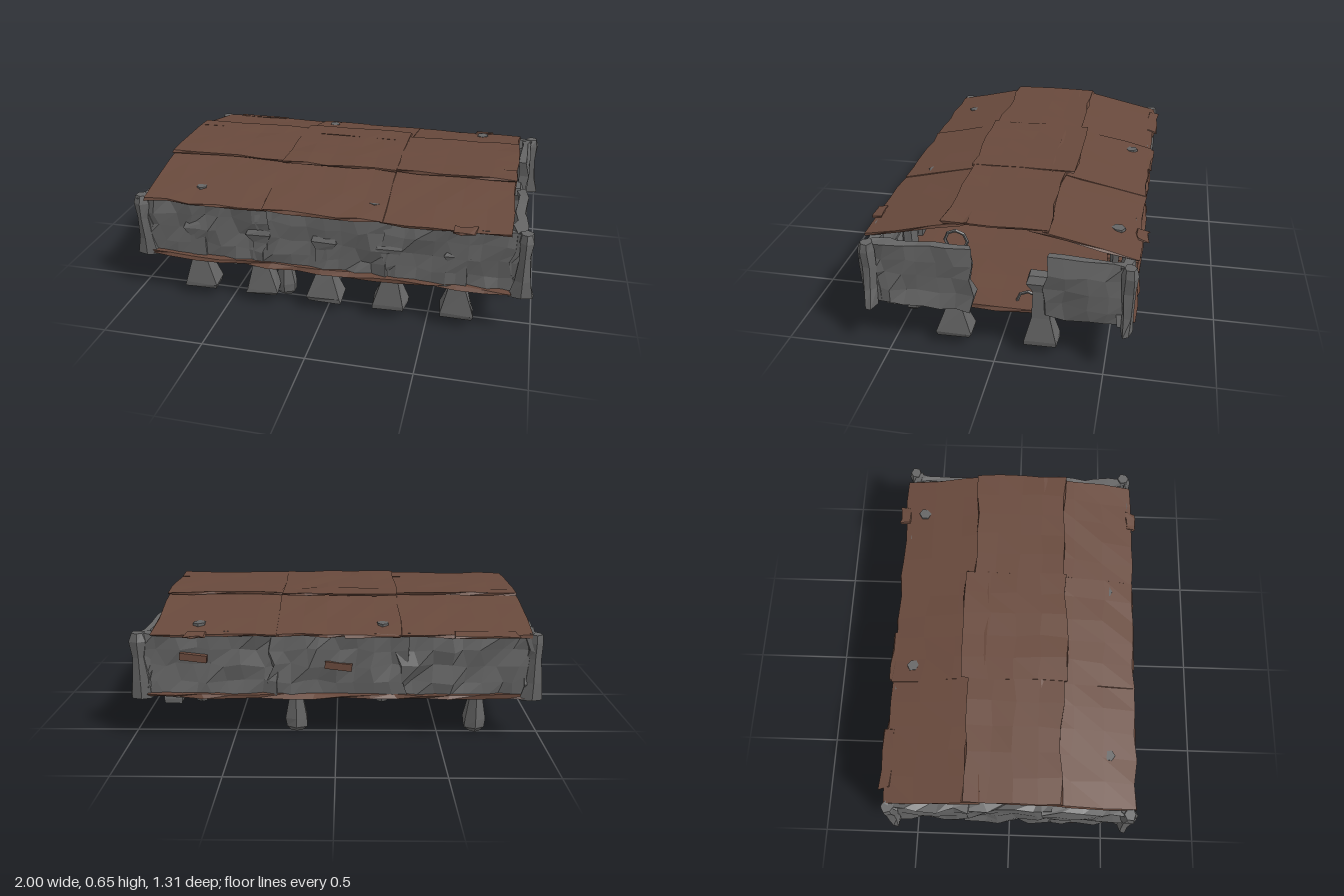
import * as THREE from 'three';

const stone = new THREE.MeshStandardMaterial({ color: 0x656565, flatShading: true });
stone.name = 'grey rock';
const wood = new THREE.MeshStandardMaterial({ color: 0x68493c, flatShading: true });
wood.name = 'brown board';

// Repeatable value from -1 to 1 for a position
function hash(x, y, z, k) {
  const r = (v) => Math.round(v * 1000);
  const s = Math.sin(r(x) * 0.1271 + r(y) * 0.3117 + r(z) * 0.2695 + k * 17.3) * 43758.5453;
  return (s - Math.floor(s)) * 2 - 1;
}

// Shift vertices by amounts per axis; coincident corners move together
function roughen(geo, ax, ay, az, seed) {
  const p = geo.attributes.position;
  for (let i = 0; i < p.count; i++) {
    const x = p.getX(i), y = p.getY(i), z = p.getZ(i);
    p.setXYZ(i, x + ax * hash(x, y, z, seed), y + ay * hash(x, y, z, seed + 1), z + az * hash(x, y, z, seed + 2));
  }
  geo.computeVertexNormals();
  return geo;
}

function add(parent, name, geo, mat, x = 0, y = 0, z = 0, ry = 0) {
  const m = new THREE.Mesh(geo, mat);
  m.name = name;
  m.position.set(x, y, z);
  m.rotation.y = ry;
  parent.add(m);
  return m;
}

// Rough stone slab running along x
function rockSlab(len, h, seed) {
  const nx = Math.max(2, Math.round(len / 0.085));
  return roughen(new THREE.BoxGeometry(len, h, 0.045, nx, 4, 1), 0.024, 0.011, 0.016, seed);
}

// Pillar stacked from sections [y, width, depth]
function pillar(sections, sides, seed, rough = 0.1) {
  const pos = [], idx = [];
  sections.forEach(([y, w, d], j) => {
    for (let i = 0; i < sides; i++) {
      const a = ((i + 0.5) / sides) * Math.PI * 2;
      const k = 1 + rough * hash(i, j, 0, seed);
      pos.push(Math.cos(a) * w * 0.6 * k, y, Math.sin(a) * d * 0.6 * k);
    }
  });
  const n = sections.length;
  for (let j = 0; j < n - 1; j++) for (let i = 0; i < sides; i++) {
    const a = j * sides + i, b = j * sides + (i + 1) % sides;
    idx.push(a, a + sides, b, b, a + sides, b + sides);
  }
  for (let i = 1; i < sides - 1; i++) {
    const t = (n - 1) * sides;
    idx.push(0, i, i + 1, t, t + i + 1, t + i);
  }
  const g = new THREE.BufferGeometry();
  g.setAttribute('position', new THREE.Float32BufferAttribute(pos, 3));
  g.setIndex(idx);
  g.computeVertexNormals();
  return g;
}

export function createModel() {
  const model = new THREE.Group();
  model.name = 'rockHall';

  // Floor
  add(model, 'floor', roughen(new THREE.BoxGeometry(1.84, 0.018, 1.23, 14, 1, 8), 0.012, 0.004, 0.018, 3), wood, -0.02, 0.228, 0);

  // Walls
  const walls = new THREE.Group();
  walls.name = 'walls';
  model.add(walls);
  for (let i = 0; i < 3; i++) {
    const x = -0.62 + i * 0.61;
    add(walls, 'frontWall', rockSlab(0.64, 0.32, 11 + i), stone, x, 0.377, 0.574);
    add(walls, 'backWall', rockSlab(0.64, 0.32, 21 + i), stone, x, 0.377, -0.574, Math.PI);
  }
  [-0.39, 0, 0.39].forEach((z, i) =>
    add(walls, 'leftWall', rockSlab(0.42, 0.32, 41 + i), stone, -0.925, 0.377, z, -Math.PI / 2));
  add(walls, 'doorWallFront', rockSlab(0.47, 0.32, 51), stone, 0.905, 0.377, 0.355, Math.PI / 2);
  add(walls, 'doorWallBack', rockSlab(0.37, 0.32, 52), stone, 0.905, 0.377, -0.405, Math.PI / 2);

  // Boards set in the back wall
  [[-0.01, 0.38], [0.68, 0.42]].forEach(([x, y]) => {
    const board = add(walls, 'wallBoard', new THREE.BoxGeometry(0.13, 0.035, 0.09), wood, x, y, -0.57);
    board.rotation.z = 0.12;
  });

  // Corner rocks, spreading along x at the foot
  for (const sx of [-1, 1]) for (const sz of [-1, 1]) {
    const g = pillar([[0.21, 0.11, 0.045], [0.3, 0.07, 0.05], [0.42, 0.05, 0.06], [0.5, 0.07, 0.06], [0.54, 0.05, 0.05]], 6, 60 + sx + sz * 3, 0.2);
    add(walls, 'corner', g, stone, sx * 0.938, 0, sz * 0.59);
  }

  // Flared buttresses outside the front and door walls
  const butt = [[0.05, 0.185, 0.11], [0.075, 0.19, 0.125], [0.2, 0.095, 0.08], [0.34, 0.09, 0.08], [0.385, 0.15, 0.1], [0.42, 0.12, 0.06]];
  [-0.66, -0.335, -0.01, 0.315, 0.64].forEach((x, i) =>
    add(model, 'frontButtress', pillar(butt, 4, 70 + i, 0.12), stone, x, 0, 0.562));
  [0.21, -0.2].forEach((z, i) =>
    add(model, 'doorButtress', pillar(butt, 4, 80 + i, 0.12), stone, 0.87, 0, z, Math.PI / 2));
  add(model, 'innerButtress', pillar([[0.21, 0.08, 0.06], [0.34, 0.06, 0.06], [0.38, 0.09, 0.07], [0.5, 0.06, 0.05]], 6, 85), stone, -0.87, 0, 0, Math.PI / 2);

  // Posts standing through the floor, alternating with posts that pierce the roof
  const low = [[0, 0.05, 0.04], [0.025, 0.095, 0.075], [0.07, 0.1, 0.08], [0.19, 0.06, 0.065], [0.36, 0.07, 0.07], [0.5, 0.06, 0.06]];
  const high = [[0.17, 0.04, 0.04], [0.195, 0.075, 0.065], [0.3, 0.06, 0.06], [0.5, 0.06, 0.06], [0.57, 0.05, 0.05]];
  [[-0.24, 0.485], [0.65, 0.485], [0.2, -0.485], [-0.69, -0.485]].forEach(([x, z], i) =>
    add(model, 'longPost', pillar(low, 6, 90 + i), stone, x, 0, z));
  [[-0.66, 0.485], [0.22, 0.485], [-0.22, -0.515], [0.66, -0.515]].forEach(([x, z], i) =>
    add(model, 'roofPost', pillar(high, 6, 100 + i, 0.2), stone, x, 0, z));

  // Roof: three bays, each with two slopes and a ridge board
  const roof = new THREE.Group();
  roof.name = 'roof';
  model.add(roof);
  [[-0.92, -0.295], [-0.305, 0.28], [0.27, 0.87]].forEach(([a, b], i) => {
    const w = b - a, x = (a + b) / 2, lift = i === 1 ? 0.004 : 0;
    for (const s of [-1, 1]) {
      const g = roughen(new THREE.BoxGeometry(w, 0.012, 0.485, 5, 1, 3), 0.008, 0.003, 0.011, 110 + i * 5 + s);
      const slope = add(roof, 'roofSlope', g, wood, x, 0.584 + lift, s * 0.381);
      slope.rotation.x = s * 0.215;
    }
    const ridge = roughen(new THREE.BoxGeometry(w, 0.012, i === 1 ? 0.53 : 0.47, 5, 1, 4), 0.007, 0.003, 0.012, 130 + i);
    add(roof, 'ridgeBoard', ridge, wood, x, 0.638 + lift, i === 1 ? 0 : 0.015);
  });
  // Loose pieces along the eaves
  [[0.66, 0.62, 0.1], [0.66, -0.625, 0.1], [-0.17, -0.605, 0.26], [-0.7, -0.612, 0.3]].forEach(([x, z, w], i) => {
    const eave = add(roof, 'eavePiece', roughen(new THREE.BoxGeometry(w, 0.01, 0.05, 3, 1, 1), 0.01, 0.002, 0.008, 140 + i), wood, x, 0.539, z);
    eave.rotation.x = Math.sign(z) * 0.215;
  });

  // Stone rings near the door
  [[0.2, 0.525], [-0.13, 0.235]].forEach(([z, y]) =>
    add(model, 'ring', new THREE.TorusGeometry(0.052, 0.008, 5, 8), stone, 0.83, y, z, Math.PI / 2));

  // Slatted rack by the back wall and a plank by the left wall
  const rack = new THREE.Group();
  rack.name = 'boardRack';
  model.add(rack);
  for (let i = 0; i < 5; i++) {
    add(rack, 'rackBoard', new THREE.BoxGeometry(0.2, 0.016, 0.03), wood, 0.5, 0.26 + i * 0.032, -0.48);
  }
  add(model, 'innerPlank', new THREE.BoxGeometry(0.03, 0.032, 0.09), wood, -0.8, 0.262, 0.01);
  return model;
}
